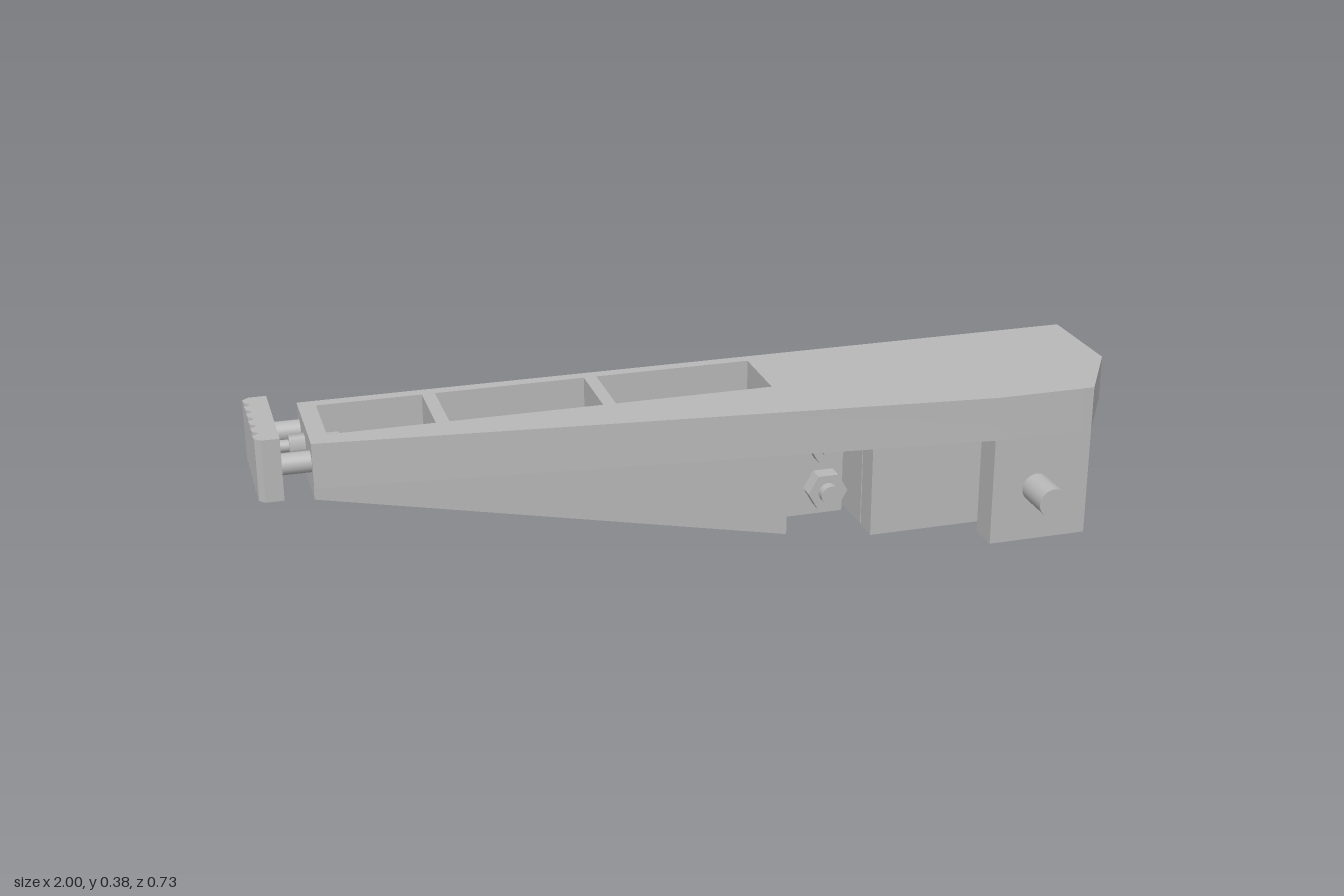
import * as THREE from 'three';
import { toCreasedNormals } from 'three/addons/utils/BufferGeometryUtils.js';

const metal = new THREE.MeshStandardMaterial({ color: 0xb8b8b8 });
metal.name = 'grey';

export function createModel() {
  const root = new THREE.Group();
  root.name = 'servoArm';

  const add = (name, geo, parent = root) => {
    const m = new THREE.Mesh(geo, metal);
    m.name = name;
    parent.add(m);
    return m;
  };
  // Box given by its extents
  const box = (name, x0, x1, y0, y1, z0, z1) =>
    add(name, new THREE.BoxGeometry(x1 - x0, y1 - y0, z1 - z0)
      .translate((x0 + x1) / 2, (y0 + y1) / 2, (z0 + z1) / 2));
  const poly = pts => new THREE.Shape(pts.map(p => new THREE.Vector2(p[0], p[1])));
  const ring = (n, r, a = 0) => Array.from({ length: n }, (_, i) =>
    [r * Math.cos(a + i * 2 * Math.PI / n), r * Math.sin(a + i * 2 * Math.PI / n)]);
  const extrude = (shape, depth) => toCreasedNormals(
    new THREE.ExtrudeGeometry(shape, { depth, bevelEnabled: false, curveSegments: 24 }), 0.5);
  // Outline in x, y pushed from z0 to z1
  const slab = (name, shape, z0, z1, x = 0, y = 0) =>
    add(name, extrude(shape, z1 - z0).translate(x, y, z0));
  // Outline in x, z standing between y0 and y1
  const deck = (name, shape, y0, y1) =>
    add(name, extrude(shape, y1 - y0).rotateX(Math.PI / 2).translate(0, y1, 0));
  const rodZ = (name, x, y, r, z0, z1) =>
    add(name, new THREE.CylinderGeometry(r, r, z1 - z0, 32)
      .rotateX(Math.PI / 2).translate(x, y, (z0 + z1) / 2));
  const rodX = (name, y, z, r, x0, x1, sides = 24) =>
    add(name, new THREE.CylinderGeometry(r, r, x1 - x0, sides)
      .rotateZ(Math.PI / 2).translate((x0 + x1) / 2, y, z));

  // Tapered top beam with three windows
  const beam = poly([[-0.88, -0.155], [1, -0.155], [1, 0.09], [0.89, 0.27], [0.65, 0.27], [-0.88, 0.1]]);
  for (const [a, b] of [[-0.84, -0.6], [-0.57, -0.22], [-0.19, 0.18]])
    beam.holes.push(poly([[a, -0.125], [a, 0.055], [b, 0.055], [b, -0.125]]));
  deck('topBeam', beam, 0.26, 0.365);

  // Sloping side walls and the end wall
  const wall = poly([[-0.88, 0.23], [0.21, 0.003], [0.21, 0.26], [-0.88, 0.26]]);
  slab('backWall', wall, -0.155, -0.125);
  slab('frontWall', wall, 0.055, 0.09);
  box('endWall', -0.88, -0.84, 0.23, 0.26, -0.125, 0.055);

  // Mounting blocks either side of the servo, and the front bearing leg
  box('innerMount', 0.21, 0.385, 0, 0.26, -0.155, -0.01);
  box('outerMount', 0.89, 1, 0, 0.26, -0.155, -0.01);
  box('bearingLeg', 0.65, 0.89, 0, 0.26, 0.195, 0.27);
  rodZ('bearingPin', 0.76, 0.13, 0.035, 0.2, 0.365);

  // Servo case
  box('servoCover', 0.392, 0.885, 0.01, 0.25, 0.103, 0.165);
  box('servoSeam', 0.396, 0.881, 0.014, 0.246, 0.098, 0.103);
  box('servoBody', 0.392, 0.885, 0.01, 0.25, -0.24, 0.098);
  // Ears, slotted between each pair of bolts
  box('innerEar', 0.3, 0.392, 0.01, 0.12, -0.19, -0.155);
  box('innerEar', 0.3, 0.392, 0.14, 0.25, -0.19, -0.155);
  box('innerEarWeb', 0.35, 0.392, 0.12, 0.14, -0.19, -0.155);
  box('outerEar', 0.885, 0.977, 0.01, 0.12, -0.19, -0.155);
  box('outerEar', 0.885, 0.977, 0.14, 0.25, -0.19, -0.155);
  box('outerEarWeb', 0.885, 0.927, 0.12, 0.14, -0.19, -0.155);

  // Rounded gear housing, raised plate and output hub
  const housing = new THREE.Shape();
  housing.moveTo(0.5, 0.01);
  housing.lineTo(0.76, 0.01);
  housing.absarc(0.76, 0.13, 0.12, -Math.PI / 2, Math.PI / 2, false);
  housing.lineTo(0.5, 0.25);
  slab('gearHousing', housing, -0.27, -0.24);
  rodZ('gearBump', 0.53, 0.13, 0.07, -0.268, -0.24);
  box('housingPlate', 0.505, 0.645, 0.02, 0.24, -0.276, -0.27);
  rodZ('hubBase', 0.76, 0.13, 0.072, -0.3, -0.27);
  rodZ('hubCollar', 0.76, 0.13, 0.06, -0.317, -0.3);
  const teeth = ring(48, 1).map(([x, y], i) => {
    const r = i % 2 ? 0.021 : 0.026;
    return [x * r, y * r];
  });
  const spline = poly(teeth);
  spline.holes.push(poly(ring(16, 0.011).reverse()));
  slab('outputSpline', spline, -0.365, -0.317, 0.76, 0.13);

  // Four bolts with socket heads and hex nuts
  const head = poly(ring(32, 0.042));
  head.holes.push(poly(ring(6, 0.021).reverse()));
  const nut = poly(ring(6, 0.049));
  for (const x of [0.335, 0.94]) for (const y of [0.07, 0.19]) {
    slab('boltHead', head, -0.237, -0.19, x, y);
    rodZ('boltShank', x, y, 0.024, -0.21, 0.053);
    slab('hexNut', nut, -0.01, 0.03, x, y);
  }

  // Foot pad with a ridged sole
  const sole = [[-0.945, 0.1], [-0.945, -0.165]];
  const n = 6, step = 0.265 / n;
  for (let i = 0; i < n; i++) {
    const z = -0.165 + i * step;
    sole.push([-0.985, z], [-1, z + step * 0.3], [-0.998, z + step * 0.7], [-0.985, z + step]);
  }
  deck('footPad', poly(sole), 0.24, 0.385);

  // Guide pins and the centre adjusting screw behind the foot
  for (const z of [-0.122, 0.068]) {
    rodX('guidePin', 0.312, z, 0.024, -0.945, -0.875);
  }
  rodX('adjustingScrew', 0.312, -0.035, 0.014, -0.95, -0.81);
  rodX('screwNut', 0.312, -0.035, 0.026, -0.915, -0.88, 6);
  for (const z of [-0.065, -0.035, -0.005])
    box('screwProng', -0.84, -0.8, 0.305, 0.319, z - 0.005, z + 0.005);

  return root;
}
